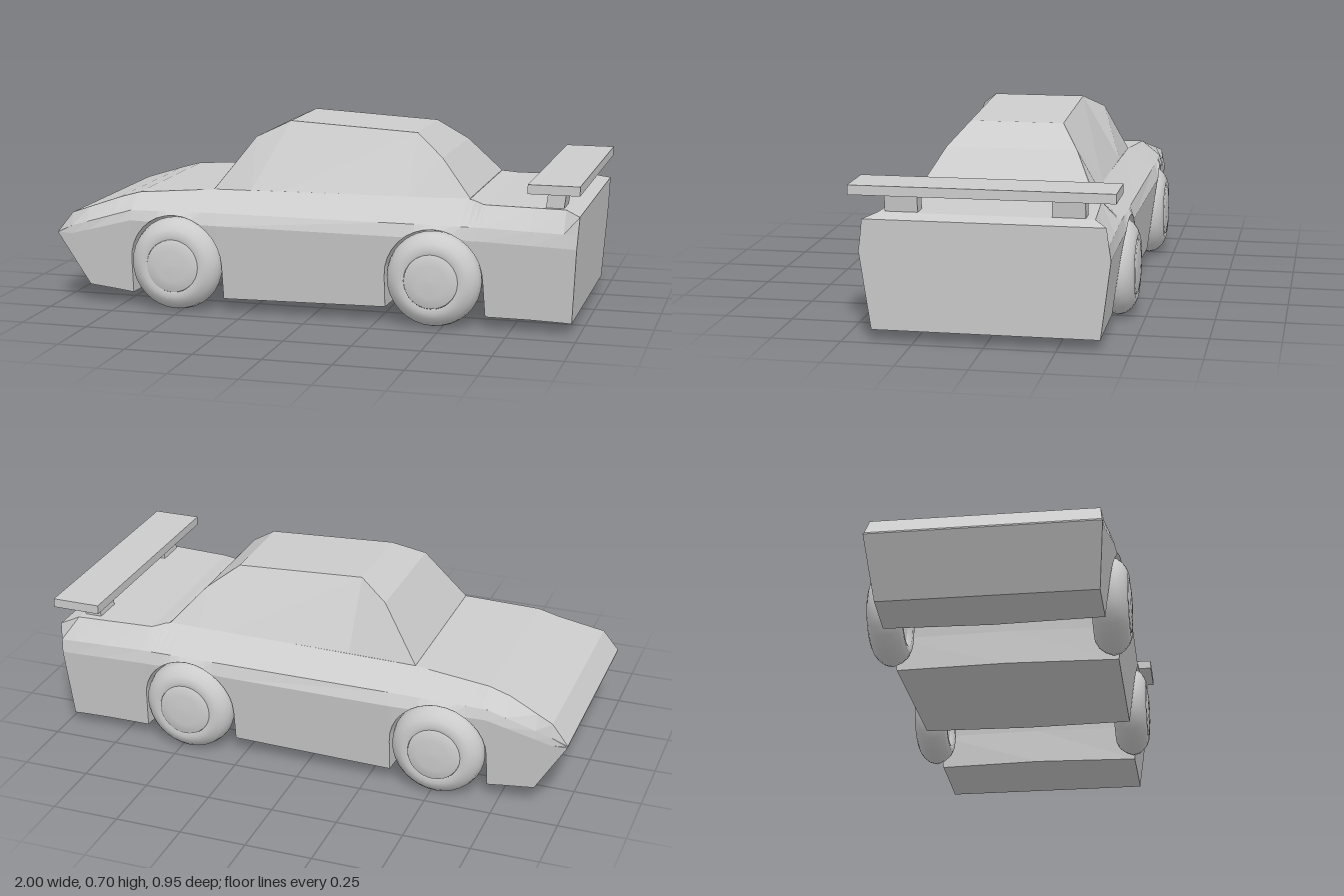
import * as THREE from 'three';

const material = new THREE.MeshStandardMaterial({ color: 0xcccccc, flatShading: true });
const smooth = new THREE.MeshStandardMaterial({ color: 0xcccccc });

function add(parent, name, geometry, mat = material) {
  const mesh = new THREE.Mesh(geometry, mat);
  mesh.name = name;
  parent.add(mesh);
  return mesh;
}

// Linear lookup of [y, z] along a list of [x, y, z] points
function sample(line, x) {
  let i = 1;
  while (i < line.length - 1 && line[i][0] < x) i++;
  const a = line[i - 1], b = line[i];
  const t = THREE.MathUtils.clamp((x - a[0]) / (b[0] - a[0]), 0, 1);
  return [a[1] + (b[1] - a[1]) * t, a[2] + (b[2] - a[2]) * t];
}

// Skin mirrored cross-sections; each half lists [x, y, z] from bottom to top
function loft(halves) {
  const rings = halves.map(h => [...h, ...h.map(([x, y, z]) => [x, y, -z]).reverse()]);
  const n = rings[0].length, pos = [];
  const tri = (a, b, c) => pos.push(...a, ...b, ...c);
  for (let i = 0; i < rings.length - 1; i++) {
    for (let j = 0; j < n; j++) {
      const k = (j + 1) % n, p = rings[i], q = rings[i + 1];
      tri(p[j], q[j], q[k]);
      tri(p[j], q[k], p[k]);
    }
  }
  const first = rings[0], last = rings[rings.length - 1];
  for (let k = 1; k < n - 1; k++) {
    tri(first[0], first[k], first[k + 1]);
    tri(last[0], last[k + 1], last[k]);
  }
  const g = new THREE.BufferGeometry();
  g.setAttribute('position', new THREE.Float32BufferAttribute(pos, 3));
  g.computeVertexNormals();
  return g;
}

const axles = [-0.52, 0.467];

function bodyGeometry() {
  const shoulder = [[-1, 0.275, 0.405], [-0.94, 0.35, 0.4], [-0.77, 0.407, 0.35], [-0.69, 0.43, 0.345],
    [-0.4, 0.45, 0.32], [0.58, 0.462, 0.315], [0.64, 0.45, 0.355], [0.94, 0.45, 0.375], [0.995, 0.435, 0.42]];
  const belt = [[-1, 0.273, 0.408], [-0.94, 0.3, 0.41], [-0.7, 0.372, 0.415], [-0.35, 0.38, 0.425],
    [0.65, 0.378, 0.422], [0.995, 0.37, 0.428]];
  const ridge = [[-1, 0.271, 0.41], [-0.94, 0.27, 0.412], [-0.7, 0.335, 0.427], [-0.35, 0.335, 0.446],
    [0.65, 0.33, 0.434], [0.995, 0.32, 0.435]];
  // Underside outline as [x, y, middle x, middle y]; the wheel tunnels narrow towards the middle
  const arch = cx => {
    const pts = [];
    for (let i = 0; i <= 16; i++) {
      const a = Math.PI * (1 - i / 16), c = Math.cos(a), s = Math.sin(a);
      pts.push([cx + 0.182 * c, 0.18 + 0.184 * s, cx + 0.168 * c, 0.18 + 0.168 * s]);
    }
    return pts;
  };
  const under = [[-1, 0.27], [-0.94, 0.17], [-0.88, 0.07], [-0.77, 0.058], [-0.704, 0.05, -0.688, 0.05],
    ...arch(axles[0]), [-0.336, 0.052, -0.352, 0.052], [0.285, 0.06, 0.299, 0.06],
    ...arch(axles[1]), [0.656, 0.045, 0.635, 0.045], [0.82, 0.045], [0.94, 0.042], [0.995, 0.04]];
  return loft(under.map(([x, yB, midX = x, midY = yB]) => {
    const [yT, zT] = sample(belt, x), [yS, zS] = sample(shoulder, x), [yLow, zR] = sample(ridge, x);
    const yR = Math.max(yLow, yB + 0.001);
    const zB = zR - 0.13 * (yR - yB);
    // The tail panel leans inward towards its foot
    const lean = y => (x > 0.99 ? x - 0.06 * (0.435 - y) : x);
    return [[x > 0.99 ? lean(yB) : midX, midY, 0], [lean(yB), yB, zB], [lean(yR), yR, zR],
      [lean(yT), yT, zT], [lean(yS), yS, zS]];
  }));
}

function cabinGeometry() {
  const roof = [[-0.4, 0.45, 0.32], [-0.255, 0.645, 0.242], [-0.14, 0.7, 0.173],
    [0.35, 0.674, 0.173], [0.46, 0.595, 0.24], [0.58, 0.463, 0.315]];
  return loft(roof.map(([x, y, z]) => [[x, 0.449 + 0.012 * (x + 0.4), 0.318], [x, y, z]]));
}

function createWheel() {
  const wheel = new THREE.Group();
  // Profiles are [radius, offset outward]
  const lathe = pts => new THREE.LatheGeometry(pts.map(p => new THREE.Vector2(...p)), 32).rotateX(Math.PI / 2);
  add(wheel, 'tyre', lathe([[0.09, -0.045], [0.105, -0.062], [0.128, -0.063], [0.148, -0.052], [0.166, -0.029],
    [0.177, 0], [0.17, 0.027], [0.156, 0.044], [0.138, 0.058], [0.118, 0.066], [0.1, 0.062]]), smooth);
  add(wheel, 'hubCap', lathe([[0.1, 0.058], [0.098, 0.067], [0.06, 0.072], [0, 0.074]]), smooth);
  add(wheel, 'innerDisc', lathe([[0, -0.02], [0.092, -0.045]]), smooth);
  return wheel;
}

export function createModel() {
  const car = new THREE.Group();
  car.name = 'sportsCar';
  add(car, 'body', bodyGeometry());
  add(car, 'cabin', cabinGeometry());

  // Four wheels, outer faces turned outward
  for (const x of axles) {
    for (const side of [1, -1]) {
      const wheel = createWheel();
      wheel.position.set(x, 0.177, side * 0.4);
      if (side < 0) wheel.rotation.y = Math.PI;
      wheel.name = (x < 0 ? 'front' : 'rear') + (side > 0 ? 'NearWheel' : 'FarWheel');
      car.add(wheel);
    }
  }

  // Rear wing on two leaning struts
  const wing = new THREE.Group();
  wing.name = 'rearWing';
  add(wing, 'wingBlade', new THREE.BoxGeometry(0.185, 0.034, 0.92)).position.set(0.9075, 0.535, 0);
  const strut = new THREE.Shape([[0.862, 0.44], [0.927, 0.44], [0.938, 0.52], [0.872, 0.52]]
    .map(p => new THREE.Vector2(...p)));
  for (const z of [0.29, -0.29]) {
    const g = new THREE.ExtrudeGeometry(strut, { depth: 0.115, bevelEnabled: false });
    add(wing, 'wingStrut', g).position.z = z - 0.0575;
  }
  wing.position.z = 0.007;
  car.add(wing);
  return car;
}
